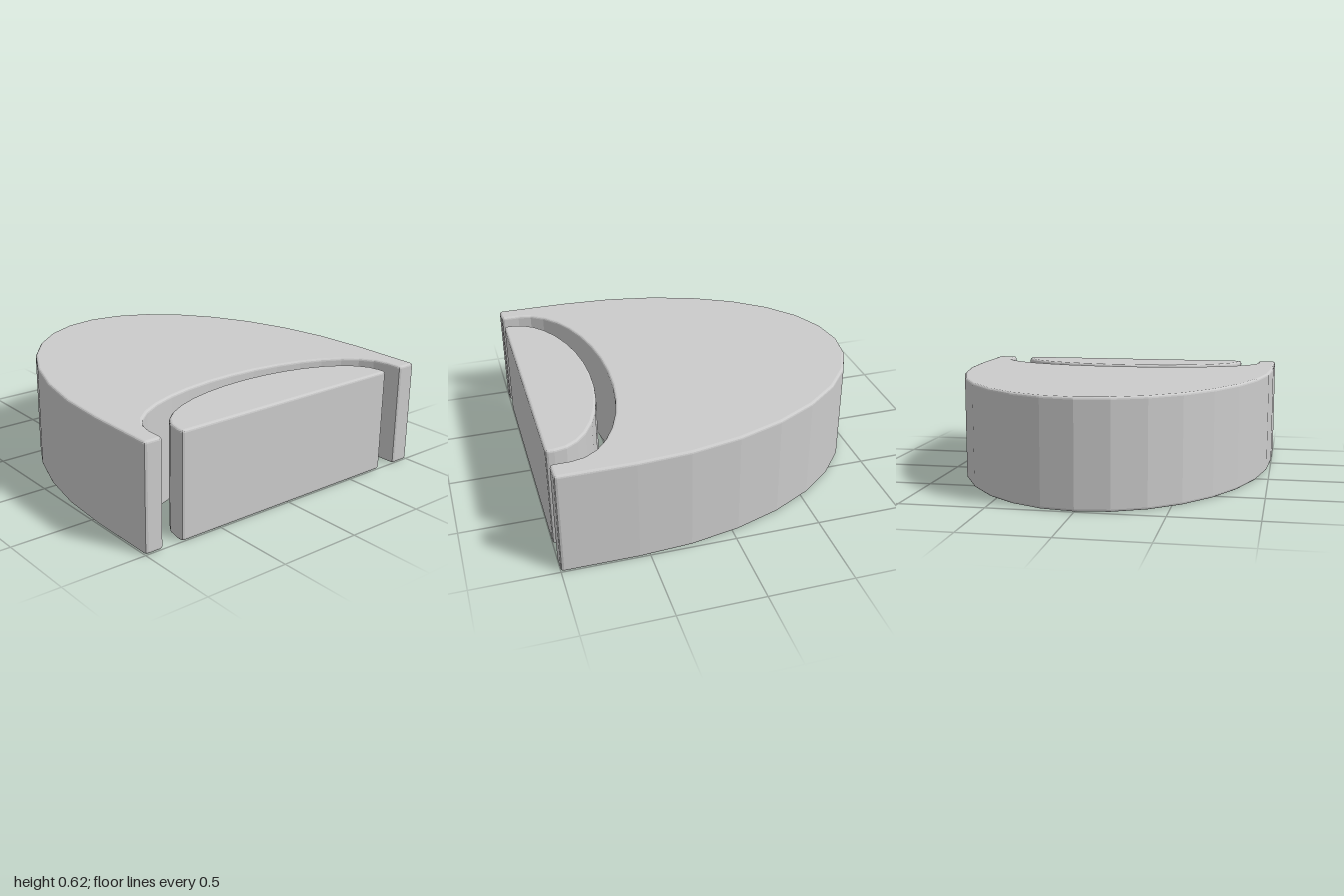
import * as THREE from 'three';

const HEIGHT = 0.625, BEVEL = 0.015, ROUND = 0.018, FRONT = 1;

// Half ellipse bulging to the back (-z), from its left end (+x) to its right end
function arch(cx, cz, rx, rz) {
  const points = [];
  for (let i = 0; i <= 16; i++) {
    const a = (i / 16) * Math.PI;
    points.push(new THREE.Vector2(cx + rx * Math.cos(a), cz - rz * Math.sin(a)));
  }
  return points;
}

// Softened corner on the front plane; side points from the corner into the part.
// Runs from the side wall to the front wall.
function corner(x, side) {
  return [[0, 1], [0.29, 0.29], [1, 0]].map(
    ([u, v]) => new THREE.Vector2(x + side * u * ROUND, FRONT - v * ROUND));
}

// Extrudes an (x, z) outline upwards with rounded top and bottom edges
function slab(name, outline, material) {
  const shape = new THREE.Shape(outline.map(p => new THREE.Vector2(p.x, -p.y)));
  const geometry = new THREE.ExtrudeGeometry(shape, {
    depth: HEIGHT - 2 * BEVEL, bevelThickness: BEVEL, bevelSize: BEVEL,
    bevelOffset: -BEVEL, bevelSegments: 3, steps: 1,
  });
  geometry.rotateX(-Math.PI / 2).translate(0, BEVEL, 0);
  const mesh = new THREE.Mesh(geometry, material);
  mesh.name = name;
  return mesh;
}

export function createModel() {
  const group = new THREE.Group();
  group.name = 'archedBlock';
  const material = new THREE.MeshStandardMaterial({ color: 0xcccccc });

  // Large arched body with an elliptical notch in its front
  const body = [
    ...arch(0, 0.56, 1, 1.56),
    ...corner(-1, 1),
    ...corner(-0.885, -1).reverse(),
    ...arch(-0.005, 0.89, 0.88, 0.4).reverse(),
    ...corner(0.875, 1),
    ...corner(1, -1).reverse(),
  ];

  // Small half-elliptical insert standing free in the notch
  const insert = [
    ...arch(-0.005, 0.95, 0.76, 0.355),
    ...corner(-0.765, 1),
    ...corner(0.755, -1).reverse(),
  ];

  group.add(slab('body', body, material), slab('insert', insert, material));
  return group;
}
